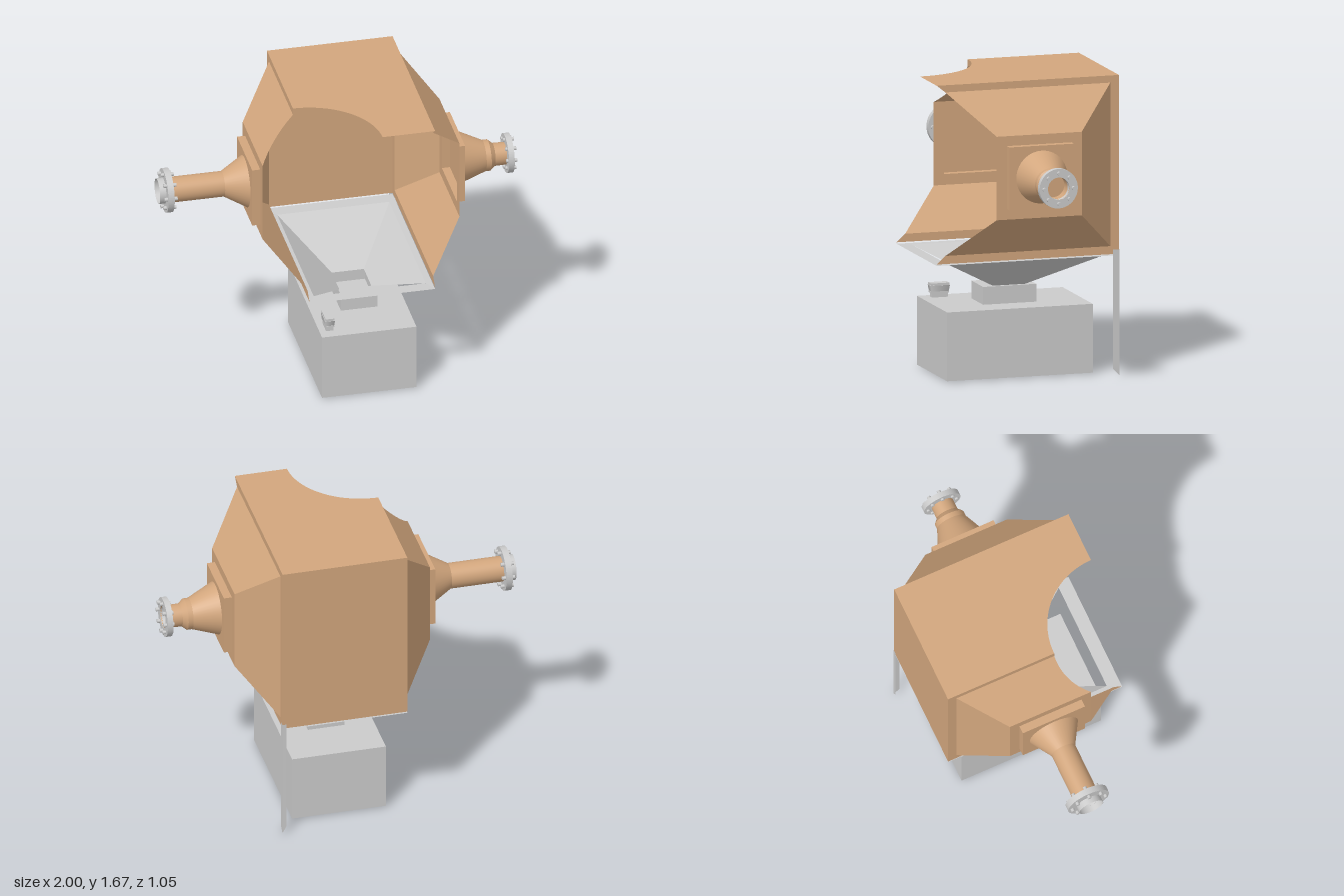
import * as THREE from 'three';

const tan = new THREE.MeshStandardMaterial({ color: 0xd2a67d, side: THREE.DoubleSide });
const grey = new THREE.MeshStandardMaterial({ color: 0xcccccc, side: THREE.DoubleSide });

// Chamber limits, and the cutaway centre and radius at its front right corner
const X0 = -0.265, X1 = 0.44, Y0 = 0.675, Y1 = 1.67, Z = 0.525;
const CUT = 0.41;

function add(parent, name, geometry, material) {
  const mesh = new THREE.Mesh(geometry, material);
  mesh.name = name;
  parent.add(mesh);
  return mesh;
}

// Thin flat panel, fanned from its first corner
function panel(parent, name, corners, material) {
  const pos = [];
  for (let i = 1; i < corners.length - 1; i++) pos.push(...corners[0], ...corners[i], ...corners[i + 1]);
  const g = new THREE.BufferGeometry();
  g.setAttribute('position', new THREE.Float32BufferAttribute(pos, 3));
  g.computeVertexNormals();
  return add(parent, name, g, material);
}

function box(parent, name, x0, x1, y0, y1, z0, z1, material) {
  const g = new THREE.BoxGeometry(x1 - x0, y1 - y0, z1 - z0);
  g.translate((x0 + x1) / 2, (y0 + y1) / 2, (z0 + z1) / 2);
  return add(parent, name, g, material);
}

// Corners of an upright rectangle at x: back bottom, front bottom, front top, back top
const rect = (x, y0, y1, z) => [[x, y0, -z], [x, y0, z], [x, y1, z], [x, y1, -z]];

// Panels between two rectangles; side 1 is the front
function skirt(parent, name, a, b, material, sides) {
  for (const i of sides) {
    const j = (i + 1) % 4;
    panel(parent, name, [a[i], a[j], b[j], b[i]], material);
  }
}

// Roof with the round cutaway, plus back wall
function chamber(parent) {
  const s = new THREE.Shape();
  s.moveTo(X0, Z);
  s.lineTo(X1, Z);
  s.lineTo(X1, -Z);
  s.lineTo(X0 + CUT, -Z);
  s.absarc(X0, -Z, CUT, 0, Math.PI / 2, false);
  const g = new THREE.ShapeGeometry(s, 24);
  g.rotateX(-Math.PI / 2);
  g.translate(0, Y1, 0);
  add(parent, 'roof', g, tan);
  panel(parent, 'backWall', [[X0, Y0, -Z], [X1, Y0, -Z], [X1, Y1, -Z], [X0, Y1, -Z]], tan);
}

// Side wall frame, tapered hood without its front, end plate and shallow duct box
function hood(parent, side) {
  const x = side > 0 ? X1 : X0;
  const xe = x + side * 0.2, xd = xe + side * 0.045;
  const wall = rect(x, Y0, Y1, Z), base = rect(x, 0.72, 1.63, 0.475);
  const end = rect(xe, 0.94, 1.405, 0.245);
  const hole = rect(xe, 1.0, 1.35, 0.187), cap = rect(xd, 1.0, 1.35, 0.187);
  const whole = side > 0 ? [0, 2, 3] : [0, 3];
  skirt(parent, 'sideFrame', wall, base, tan, whole);
  skirt(parent, 'hoodSlope', base, end, tan, whole);
  skirt(parent, 'endPlate', end, hole, tan, [0, 1, 2, 3]);
  skirt(parent, 'ductSide', hole, cap, tan, [0, 1, 2, 3]);
  panel(parent, 'ductCap', cap, tan);
  if (side < 0) {
    // Upper frame strip and slope follow the cutaway
    const zc = Z - CUT;
    panel(parent, 'sideFrame', [wall[3], [x, Y1, zc], [x, 1.63, zc], base[3]], tan);
    const edge = [end[3]];
    for (let i = 0; i <= 12; i++) {
      const t = 1 - i / 12;
      const z = Z - CUT * Math.sqrt(1 - (t * 0.2 / 0.274) ** 2);
      edge.push([x - 0.2 * t, 1.63 - 0.225 * t, z]);
    }
    edge.push(base[3]);
    panel(parent, 'hoodSlope', edge, tan);
  }
}

// Round pipe made of [x, radius, drop] stations along local +x
function pipe(parent, stations, material) {
  for (let i = 0; i < stations.length - 1; i++) {
    const [xa, ra, da = 0] = stations[i], [xb, rb, db = 0] = stations[i + 1];
    const g = new THREE.LatheGeometry([new THREE.Vector2(ra, xa), new THREE.Vector2(rb, xb)], 40);
    g.rotateZ(-Math.PI / 2);
    const p = g.attributes.position;
    for (let k = 0; k < p.count; k++) {
      p.setY(k, p.getY(k) - THREE.MathUtils.mapLinear(p.getX(k), xa, xb, da, db));
    }
    add(parent, 'pipeSection', g, material);
  }
}

// Bolted ring flange
function flange(parent, x0, x1, bore, radius, boltCircle, b0, b1, drop) {
  const s = new THREE.Shape().absarc(0, 0, radius, 0, Math.PI * 2, false);
  s.holes.push(new THREE.Path().absarc(0, 0, bore, 0, Math.PI * 2, true));
  const g = new THREE.ExtrudeGeometry(s, { depth: x1 - x0, bevelEnabled: false, curveSegments: 40 });
  g.rotateY(Math.PI / 2);
  g.translate(x0, -drop, 0);
  add(parent, 'flange', g, grey);
  for (let i = 0; i < 8; i++) {
    const a = i * Math.PI / 4;
    const bolt = new THREE.CylinderGeometry(0.011, 0.011, b1 - b0, 8);
    bolt.rotateZ(Math.PI / 2);
    bolt.translate((b0 + b1) / 2, Math.cos(a) * boltCircle - drop, Math.sin(a) * boltCircle);
    add(parent, 'bolt', bolt, grey);
  }
}

// Hopper flange frame and three of its slopes, front left open
function hopper(parent) {
  const ring = (x0, x1, y, z0, z1) => [[x0, y, z0], [x0, y, z1], [x1, y, z1], [x1, y, z0]];
  const outer = ring(X0, X1, 0.667, -Z, Z), inner = ring(-0.225, 0.405, 0.665, -0.45, 0.45);
  const bottom = ring(-0.005, 0.175, 0.487, -0.07, 0.115);
  skirt(parent, 'hopperFlange', outer, inner, grey, [0, 1, 2, 3]);
  skirt(parent, 'hopperSlope', inner, bottom, grey, [0, 2, 3]);
  // Neck down to the tank
  const top = ring(-0.01, 0.195, 0.487, -0.13, 0.177), foot = ring(-0.01, 0.195, 0.385, -0.13, 0.177);
  skirt(parent, 'neck', top, foot, grey, [0, 1, 2, 3]);
  skirt(parent, 'neckRim', top, bottom, grey, [0, 1, 2, 3]);
}

// Tank with a small stepped valve on its lid
function tank(parent) {
  box(parent, 'tank', -0.175, 0.355, 0.005, 0.388, -0.402, 0.437, grey);
  box(parent, 'valveFoot', -0.138, -0.097, 0.388, 0.412, 0.285, 0.375, grey);
  box(parent, 'valveCollar', -0.141, -0.094, 0.412, 0.422, 0.278, 0.382, grey);
  const body = new THREE.CylinderGeometry(Math.SQRT1_2, Math.SQRT1_2 * 0.88, 0.033, 4, 1);
  body.rotateY(Math.PI / 4);
  body.scale(0.054, 1, 0.112);
  body.translate(-0.1175, 0.438, 0.33);
  add(parent, 'valveBody', body.toNonIndexed(), grey);
  box(parent, 'valveCap', -0.142, -0.093, 0.454, 0.467, 0.277, 0.383, grey);
}

// Angle-section leg with a slanted foot
function leg(parent) {
  const y = 0.7, x = X1 + 0.002, z = -Z - 0.002;
  panel(parent, 'leg', [[x, 0, z], [x, y, z], [x - 0.022, y, z], [x - 0.022, 0.04, z]], grey);
  panel(parent, 'leg', [[x, 0, z], [x, y, z], [x, y, z + 0.036], [x, 0.036, z + 0.036]], grey);
}

export function createModel() {
  const model = new THREE.Group();
  model.name = 'dustCollector';

  chamber(model);
  hood(model, 1);
  hood(model, -1);

  // Short eccentric outlet on the left
  const outlet = new THREE.Group();
  outlet.name = 'outlet';
  outlet.position.y = 1.175;
  pipe(outlet, [[0.685, 0.147], [0.83, 0.087, 0.013], [0.858, 0.087, 0.013],
    [0.885, 0.064, 0.013], [0.98, 0.062, 0.013]], tan);
  flange(outlet, 0.95, 0.982, 0.062, 0.11, 0.085, 0.94, 1.0, 0.013);

  // Long inlet on the right
  const inlet = new THREE.Group();
  inlet.name = 'inlet';
  inlet.position.y = 1.175;
  inlet.rotation.y = Math.PI;
  pipe(inlet, [[0.51, 0.145], [0.635, 0.071], [0.93, 0.071]], tan);
  pipe(inlet, [[0.93, 0.071], [1.0, 0.071]], grey);
  flange(inlet, 0.93, 0.965, 0.07, 0.123, 0.099, 0.91, 0.982, 0);
  model.add(outlet, inlet);

  hopper(model);
  tank(model);
  leg(model);
  return model;
}
